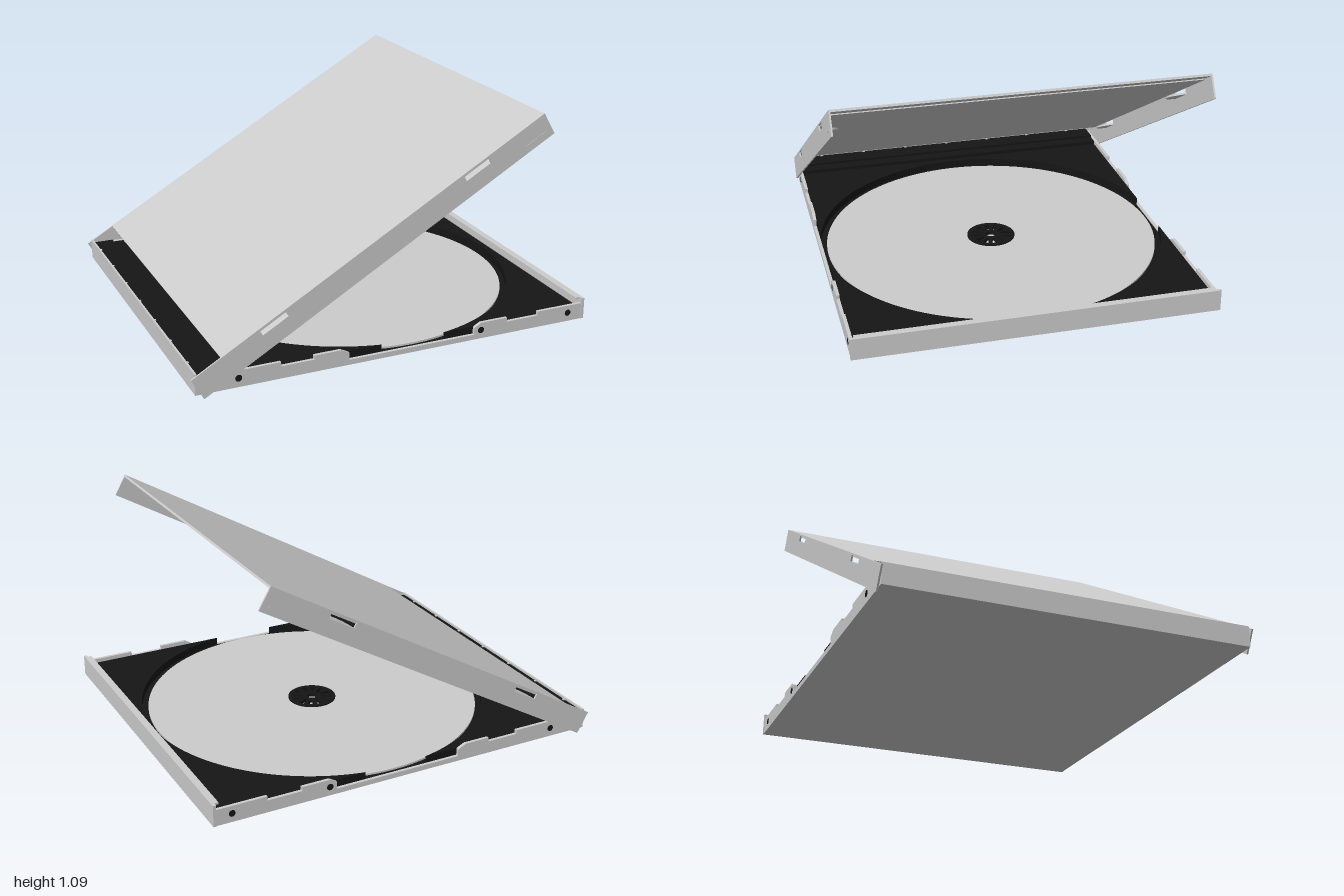
import * as THREE from 'three';

const grey = new THREE.MeshStandardMaterial({ color: 0xcccccc });
const black = new THREE.MeshStandardMaterial({ color: 0x151515 });
const CX = 0.08; // disc centre along x

function add(parent, name, geometry, material = grey) {
  const mesh = new THREE.Mesh(geometry, material);
  mesh.name = name;
  parent.add(mesh);
  return mesh;
}

// Box given by its minimum and maximum corners
function box(parent, name, [x0, y0, z0], [x1, y1, z1], material = grey) {
  const mesh = add(parent, name, new THREE.BoxGeometry(x1 - x0, y1 - y0, z1 - z0), material);
  mesh.position.set((x0 + x1) / 2, (y0 + y1) / 2, (z0 + z1) / 2);
  return mesh;
}

const polygon = (points) => new THREE.Shape(points.map(([x, y]) => new THREE.Vector2(x, y)));

const extrude = (shape, depth) =>
  new THREE.ExtrudeGeometry(shape, { depth, bevelEnabled: false, curveSegments: 64 });

// Plan shape laid flat, from y0 up to y1
const flat = (shape, y0, y1) => extrude(shape, y1 - y0).rotateX(-Math.PI / 2).translate(0, y0, 0);

function createBase() {
  const base = new THREE.Group();
  base.name = 'base';
  box(base, 'basePlate', [-0.98, 0.02, -0.862], [1, 0.03, 0.862]);

  // Open-end wall with its inward lip, and the spine wall
  box(base, 'endWall', [0.985, 0.02, -0.865], [1, 0.125, 0.865]);
  box(base, 'endWallLip', [0.965, 0.115, -0.845], [0.985, 0.125, 0.845]);
  box(base, 'spineWall', [-0.98, 0.02, -0.862], [-0.97, 0.12, 0.862]);

  // Notched side walls with round peg holes
  const profile = polygon([
    [-0.97, 0.02], [0.985, 0.02], [0.985, 0.1], [0.74, 0.1], [0.74, 0.08], [0.57, 0.08],
    [0.57, 0.1], [0.43, 0.1], [0.395, 0.08], [0.395, 0.045], [-0.25, 0.045], [-0.25, 0.08],
    [-0.29, 0.1], [-0.42, 0.1], [-0.42, 0.08], [-0.58, 0.08], [-0.58, 0.1], [-0.97, 0.1],
  ]);
  for (const side of [-1, 1]) {
    add(base, 'sideWall', extrude(profile, 0.016)).position.z = side > 0 ? 0.846 : -0.862;
    for (const x of [-0.78, 0.43, 0.91]) {
      const peg = add(base, 'trayPeg', new THREE.CylinderGeometry(0.016, 0.016, 0.02, 20), black);
      peg.rotation.x = Math.PI / 2;
      peg.position.set(x, 0.063, side * 0.853);
    }
  }
  return base;
}

function createTray() {
  const tray = new THREE.Group();
  tray.name = 'tray';

  // Floor, open under the hub
  const floor = polygon([[-0.97, -0.845], [0.975, -0.845], [0.975, 0.845], [-0.97, 0.845]]);
  floor.holes.push(new THREE.Path().absarc(CX, 0, 0.1, 0, Math.PI * 2, true));
  add(tray, 'trayFloor', flat(floor, 0.03, 0.041), black);

  // Raised surround on both sides of the round well
  const a = Math.asin(0.845 / 0.86);
  const right = new THREE.Shape();
  right.absarc(CX, 0, 0.86, -a, a, false);
  right.lineTo(0.975, 0.845);
  right.lineTo(0.975, -0.845);
  right.closePath();
  const left = new THREE.Shape();
  left.absarc(CX, 0, 0.86, Math.PI - a, Math.PI + a, false);
  left.lineTo(-0.86, -0.845);
  left.lineTo(-0.86, 0.845);
  left.closePath();
  for (const shape of [left, right]) add(tray, 'traySurround', flat(shape, 0.04, 0.08), black);

  // Raised spine strip, with a lower step and small clips along the edge
  box(tray, 'spineStrip', [-0.97, 0.04, -0.845], [-0.87, 0.11, 0.845], black);
  box(tray, 'spineStep', [-0.87, 0.04, -0.845], [-0.81, 0.098, 0.845], black);
  for (let i = -3; i <= 3; i++) {
    box(tray, 'spineClip', [-0.972, 0.1, i * 0.24 - 0.006], [-0.96, 0.114, i * 0.24 + 0.006]);
  }

  // Hub with a ring of radial slots between the teeth
  const hub = new THREE.Shape().absarc(CX, 0, 0.12, 0, Math.PI * 2, false);
  for (let i = 0; i < 12; i++) {
    const angle = (i / 12) * Math.PI * 2;
    const corner = (r, d) =>
      new THREE.Vector2(CX + r * Math.cos(angle + d), r * Math.sin(angle + d));
    hub.holes.push(new THREE.Path([
      corner(0.045, 0.1), corner(0.098, 0.15), corner(0.098, -0.15), corner(0.045, -0.1),
    ]));
  }
  hub.holes.push(new THREE.Path().absarc(CX, 0, 0.025, 0, Math.PI * 2, true));
  add(tray, 'hub', flat(hub, 0.041, 0.058), black);
  return tray;
}

function createDisc() {
  const shape = new THREE.Shape().absarc(CX, 0, 0.83, 0, Math.PI * 2, false);
  shape.holes.push(new THREE.Path().absarc(CX, 0, 0.12, 0, Math.PI * 2, true));
  const disc = new THREE.Group();
  disc.name = 'disc';
  add(disc, 'discBody', flat(shape, 0.043, 0.052));
  return disc;
}

// Lid in its own frame: x runs along the lid from the hinge end, y = 0 is its top face
function createLid() {
  const lid = new THREE.Group();
  lid.name = 'lid';
  const length = 1.975, depth = 0.1155;
  box(lid, 'coverPlate', [0.16, -0.016, -0.865], [length - 0.07, 0, 0.865]);
  box(lid, 'coverEdge', [length - 0.07, -0.011, -0.865], [length, 0, 0.865]);

  const flange = polygon([[0, -depth], [length, -depth], [length, 0], [0, 0]]);
  const slots = [0.433, 1.572];
  for (const x of slots) {
    flange.holes.push(new THREE.Path([
      new THREE.Vector2(x - 0.07, -0.037), new THREE.Vector2(x - 0.07, -0.009),
      new THREE.Vector2(x + 0.07, -0.009), new THREE.Vector2(x + 0.07, -0.037),
    ]));
  }
  for (const side of [-1, 1]) {
    add(lid, 'sideFlange', extrude(flange, 0.008)).position.z = side > 0 ? 0.863 : -0.871;
    const z = side * 0.8705;
    box(lid, 'catchRidge', [1.82, -0.085, z - 0.002], [1.94, -0.079, z + 0.002]);

    // Half-round booklet tabs below each slot
    for (const x of slots) {
      const half = new THREE.Shape().absarc(0, 0, 0.075, 0, Math.PI, false);
      half.closePath();
      const tab = add(lid, 'bookletTab', flat(half, -0.046, -0.037));
      tab.position.set(x, 0, side * 0.865);
      if (side < 0) tab.rotation.y = Math.PI;
    }
  }
  lid.position.set(-1, 0.1, 0);
  lid.rotation.z = Math.PI / 6;
  return lid;
}

export function createModel() {
  const model = new THREE.Group();
  model.name = 'openDiscCase';
  model.add(createBase(), createTray(), createDisc(), createLid());
  return model;
}
